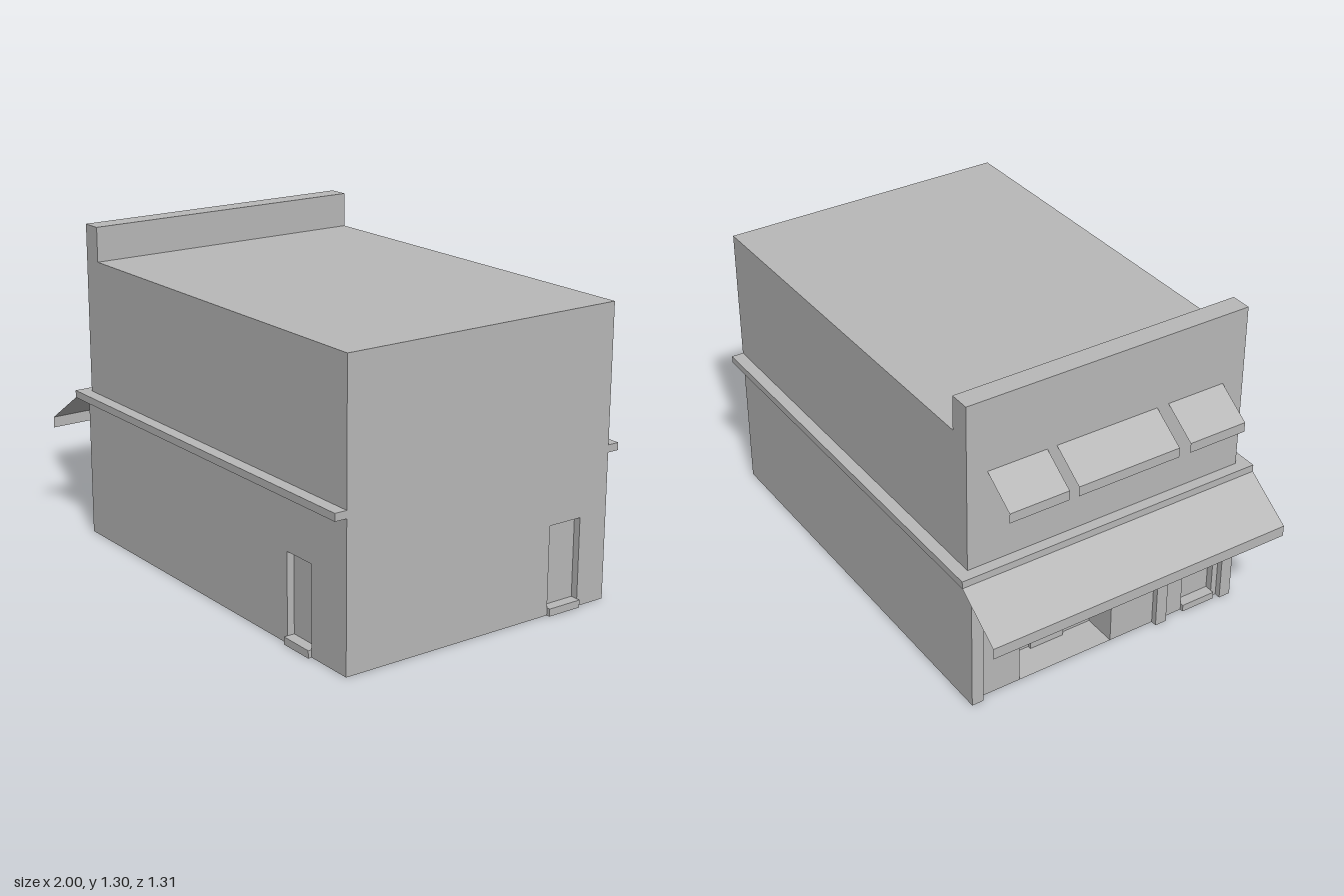
import * as THREE from 'three';

const plaster = new THREE.MeshStandardMaterial({ color: 0xb8b8b8, side: THREE.DoubleSide });
plaster.name = 'plaster grey';

// Building extents
const LEFT = -0.755, RIGHT = 0.985, SIDE = 0.605;
const ROOF_Y = 1.165, PARAPET_Y = 1.305, PARAPET_X = -0.67;
const DOOR_H = 0.355, SILL_H = 0.03, BAND_Y0 = 0.585, BAND_Y1 = 0.615;

function add(parent, name, geometry) {
  const mesh = new THREE.Mesh(geometry, plaster);
  mesh.name = name;
  parent.add(mesh);
  return mesh;
}

// Box given by its limits
function box(parent, name, u0, u1, y0, y1, z0, z1) {
  const mesh = add(parent, name, new THREE.BoxGeometry(u1 - u0, y1 - y0, z1 - z0));
  mesh.position.set((u0 + u1) / 2, (y0 + y1) / 2, (z0 + z1) / 2);
  return mesh;
}

// Flat wall with openings [u0, u1, height] cut up from its foot
function wall(parent, name, u0, u1, z, top, openings = []) {
  const pts = [[u0, 0]];
  for (const [a, b, h] of openings) pts.push([a, 0], [a, h], [b, h], [b, 0]);
  pts.push([u1, 0], ...top);
  const shape = new THREE.Shape(pts.map(([x, y]) => new THREE.Vector2(x, y)));
  add(parent, name, new THREE.ShapeGeometry(shape)).position.z = z;
}

// Folded sheet: a profile of [z, y] points stretched from u0 to u1
function sheet(parent, name, u0, u1, profile) {
  const pos = [];
  for (let i = 0; i < profile.length - 1; i++) {
    const [za, ya] = profile[i], [zb, yb] = profile[i + 1];
    pos.push(u0, ya, za, u0, yb, zb, u1, yb, zb, u0, ya, za, u1, yb, zb, u1, ya, za);
  }
  const g = new THREE.BufferGeometry();
  g.setAttribute('position', new THREE.Float32BufferAttribute(pos, 3));
  g.computeVertexNormals();
  add(parent, name, g);
}

// Reveal around an opening: a box without its front and back
function reveal(parent, name, u0, u1, h, z, depth) {
  const mesh = box(parent, name, u0, u1, 0, h, z - depth, z);
  mesh.geometry.setIndex(Array.from(mesh.geometry.index.array).slice(0, 24));
  mesh.geometry.clearGroups();
}

// Recessed door with a projecting threshold
function door(parent, u0, u1, z) {
  const d = 0.03;
  reveal(parent, 'doorReveal', u0, u1, DOOR_H, z, d);
  wall(parent, 'doorLeaf', u0, u1, z - d, [[u1, DOOR_H], [u0, DOOR_H]]);
  box(parent, 'threshold', u0, u1, 0, SILL_H, z - d, z + 0.015);
}

export function createModel() {
  const model = new THREE.Group();
  model.name = 'shopBuilding';

  // Each facade is built facing +z, then turned into place
  const facade = (name, angle) => {
    const g = new THREE.Group();
    g.name = name;
    g.rotation.y = angle;
    model.add(g);
    return g;
  };
  const front = facade('frontFacade', 0);
  const back = facade('backFacade', Math.PI);
  const end = facade('rearEndFacade', Math.PI / 2);
  const shop = facade('shopFacade', -Math.PI / 2);

  // Long side walls with the parapet step
  wall(front, 'frontWall', LEFT, RIGHT, SIDE,
    [[RIGHT, ROOF_Y], [PARAPET_X, ROOF_Y], [PARAPET_X, PARAPET_Y], [LEFT, PARAPET_Y]],
    [[0.63, 0.78, DOOR_H]]);
  door(front, 0.63, 0.78, SIDE);
  wall(back, 'backWall', -RIGHT, -LEFT, SIDE,
    [[-LEFT, PARAPET_Y], [-PARAPET_X, PARAPET_Y], [-PARAPET_X, ROOF_Y], [-RIGHT, ROOF_Y]]);

  // Rear end wall with its door
  wall(end, 'rearEndWall', -SIDE, SIDE, RIGHT, [[SIDE, ROOF_Y], [-SIDE, ROOF_Y]],
    [[0.325, 0.475, DOOR_H]]);
  door(end, 0.325, 0.475, RIGHT);

  // Shop wall with a deep entrance and a side door
  const z = -LEFT, inner = z - 0.14, e0 = -0.38, e1 = 0.04, eh = 0.42;
  wall(shop, 'shopWall', -SIDE, SIDE, z, [[SIDE, PARAPET_Y], [-SIDE, PARAPET_Y]],
    [[e0, e1, eh], [0.38, 0.53, DOOR_H]]);
  door(shop, 0.38, 0.53, z);
  reveal(shop, 'entranceReveal', e0, e1, eh, z, 0.14);
  wall(shop, 'entranceWall', e0, e1, inner, [[e1, eh], [e0, eh]], [[-0.245, -0.095, DOOR_H]]);
  door(shop, -0.245, -0.095, inner);

  // Pillars
  box(shop, 'cornerPillar', -SIDE, -0.555, 0, BAND_Y0, z, 0.78);
  box(shop, 'cornerPillar', 0.555, SIDE, 0, BAND_Y0, z, 0.78);
  box(shop, 'middlePillar', 0.24, 0.29, 0, BAND_Y0, 0.73, 0.78);

  // Roof, parapet back and parapet cap
  sheet(shop, 'roof', -SIDE, SIDE,
    [[z, PARAPET_Y], [-PARAPET_X, PARAPET_Y], [-PARAPET_X, ROOF_Y], [-RIGHT, ROOF_Y]]);

  // Band between the storeys on three sides
  box(front, 'storeyBand', -0.8, RIGHT, BAND_Y0, BAND_Y1, 0.555, 0.655);
  box(back, 'storeyBand', -RIGHT, 0.8, BAND_Y0, BAND_Y1, 0.555, 0.655);
  box(shop, 'storeyBand', -0.555, 0.555, BAND_Y0, BAND_Y1, 0.705, 0.8);

  // Awnings: a slope with a hanging lip
  sheet(shop, 'shopAwning', -0.655, 0.655, [[0.8, BAND_Y0], [1, 0.45], [1, 0.405]]);
  for (const [a, b] of [[-0.52, -0.27], [-0.23, 0.21], [0.26, 0.51]]) {
    sheet(shop, 'windowAwning', a, b, [[z, 1.01], [0.895, 0.915], [0.895, 0.875]]);
  }
  return model;
}
